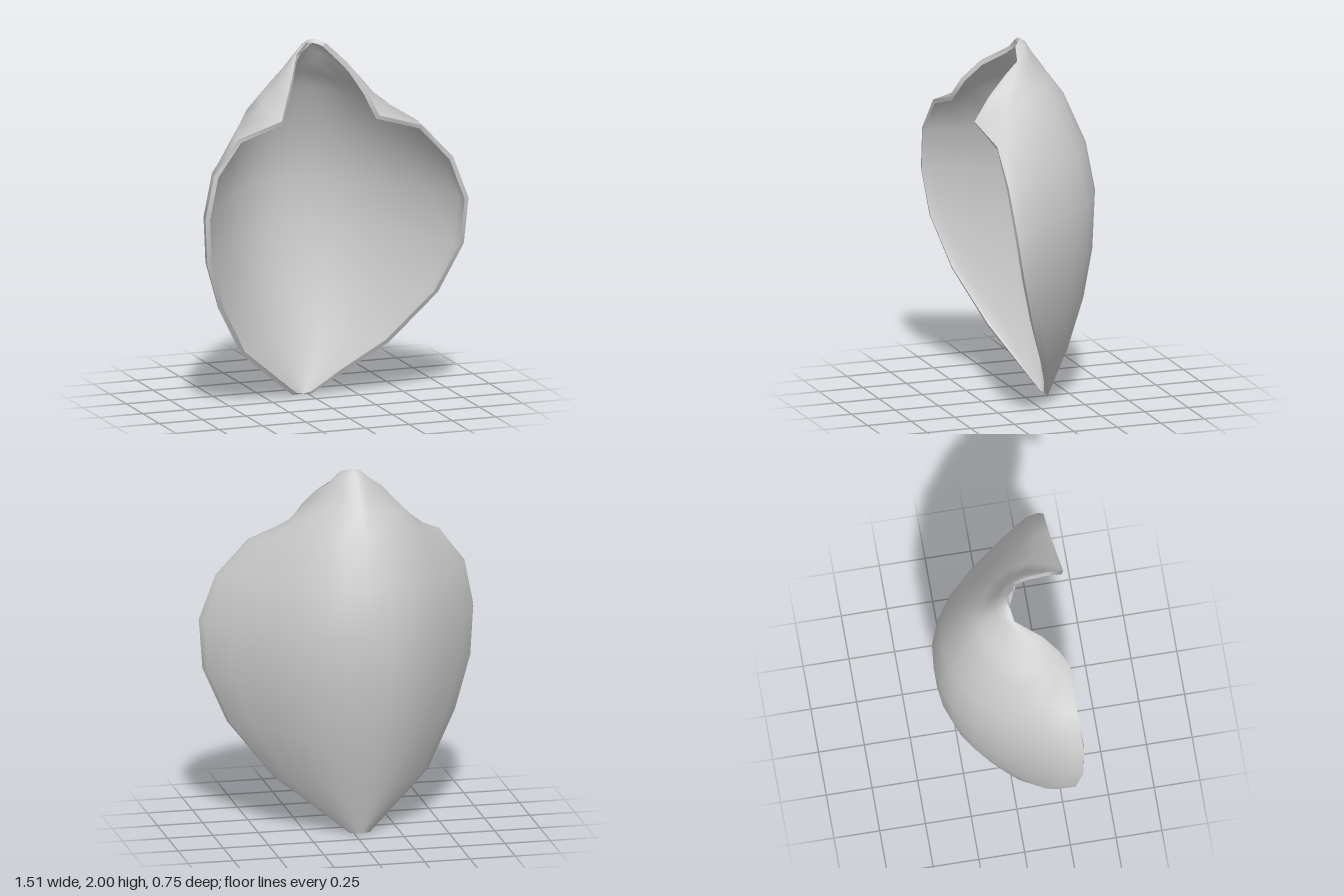
import * as THREE from 'three';

// Each row: left edge x,y,z | spine y,z | right edge x,y,z | sideways bulge
const ROWS = [
  [-0.09, 0.00, -0.12, 0.00, -0.135, 0.02, 0.00, -0.12, 0],
  [-0.45, 0.29, 0.05, 0.29, -0.23, 0.40, 0.29, 0.05, 0],
  [-0.63, 0.58, 0.19, 0.58, -0.31, 0.63, 0.58, 0.19, 0],
  [-0.735, 0.86, 0.28, 0.86, -0.36, 0.745, 0.86, 0.28, 0],
  [-0.76, 1.12, 0.32, 1.15, -0.378, 0.755, 1.12, 0.325, 0],
  [-0.715, 1.36, 0.33, 1.42, -0.33, 0.66, 1.36, 0.34, 0],
  [-0.57, 1.55, 0.32, 1.70, -0.21, 0.48, 1.55, 0.34, 0.01],
  [-0.32, 1.63, 0.32, 1.80, -0.135, 0.22, 1.63, 0.375, 0.12],
  [-0.27, 1.74, 0.27, 1.87, -0.085, 0.185, 1.75, 0.28, 0.06],
  [-0.21, 1.84, 0.19, 1.93, -0.04, 0.14, 1.85, 0.17, 0.03],
  [-0.13, 1.93, 0.05, 1.98, -0.01, 0.10, 1.91, 0.085, 0],
  [-0.07, 1.985, 0.035, 2.00, 0.025, 0.03, 1.98, 0.07, 0],
];
// Cross-section of one half: sideways share, depth share
const PROFILE = [[0, 0], [0.17, 0.02], [0.33, 0.09], [0.5, 0.22], [0.67, 0.42], [0.84, 0.67], [0.98, 0.9], [1, 1]];
const SPINE_X = -0.04;
const THICKNESS = 0.025;
const HALF = PROFILE.length - 1;
const COLS = HALF * 2 + 1;

function outerPoint(row, col) {
  const [lx, ly, lz, sy, sz, rx, ry, rz, bulge] = row;
  const side = Math.sign(col - HALF);
  const [t, f] = PROFILE[Math.abs(col - HALF)];
  const [ex, ey, ez] = side < 0 ? [lx, ly, lz] : [rx, ry, rz];
  return new THREE.Vector3(
    THREE.MathUtils.lerp(SPINE_X, ex, t) + side * bulge * Math.sin(Math.PI * f),
    THREE.MathUtils.lerp(sy, ey, f),
    THREE.MathUtils.lerp(sz, ez, f));
}

function gridGeometry(points, cols, flip) {
  const geometry = new THREE.BufferGeometry().setFromPoints(points);
  const index = [];
  for (let r = 0; r < points.length / cols - 1; r++) {
    for (let c = 0; c < cols - 1; c++) {
      const a = r * cols + c, b = a + 1, d = a + cols, e = d + 1;
      if (flip) index.push(a, b, d, b, e, d);
      else index.push(a, d, b, b, d, e);
    }
  }
  geometry.setIndex(index);
  geometry.computeVertexNormals();
  return geometry;
}

export function createModel() {
  const group = new THREE.Group();
  group.name = 'petalShell';
  const grey = new THREE.MeshStandardMaterial({ color: 0xcccccc, side: THREE.DoubleSide });
  grey.name = 'pale grey';
  const add = (name, geometry) => {
    const mesh = new THREE.Mesh(geometry, grey);
    mesh.name = name;
    group.add(mesh);
  };

  // Convex outer skin
  const outer = ROWS.flatMap(row => Array.from({ length: COLS }, (_, c) => outerPoint(row, c)));
  const outerGeometry = gridGeometry(outer, COLS, false);
  add('outerSkin', outerGeometry);

  // Concave inner skin, offset along the outer normals
  const normals = outerGeometry.attributes.normal;
  const inner = outer.map((p, i) => {
    const n = new THREE.Vector3().fromBufferAttribute(normals, i);
    const q = p.clone().addScaledVector(n, -THICKNESS);
    q.y = THREE.MathUtils.clamp(q.y, 0, 2);
    return q;
  });
  add('innerSkin', gridGeometry(inner, COLS, true));

  // Rim closing the gap around the whole border
  const last = ROWS.length - 1;
  const border = [];
  for (let c = 0; c < COLS; c++) border.push(c);
  for (let r = 1; r <= last; r++) border.push(r * COLS + COLS - 1);
  for (let c = COLS - 2; c >= 0; c--) border.push(last * COLS + c);
  for (let r = last - 1; r >= 0; r--) border.push(r * COLS);
  add('rim', gridGeometry(border.flatMap(i => [outer[i], inner[i]]), 2, false));

  return group;
}
